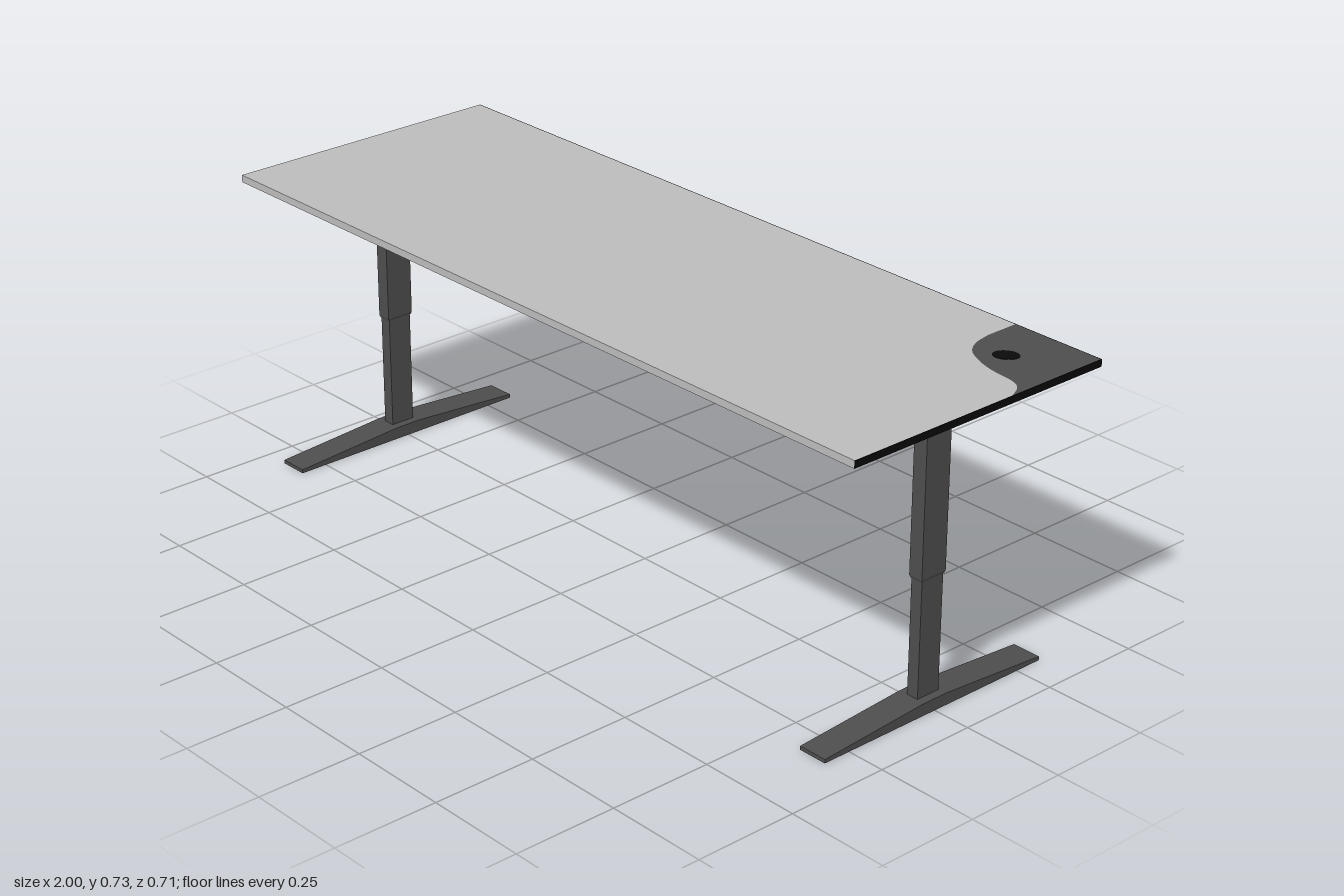
import * as THREE from 'three';

const TOP = 0.727, BOTTOM = 0.7095, HALF_Z = 0.353, EDGE = 0.002;

export function createModel() {
  const material = (name, color) => {
    const m = new THREE.MeshStandardMaterial({ color });
    m.name = name;
    return m;
  };
  const lightGrey = material('light grey', 0xbcbcbc);
  const darkGrey = material('dark grey', 0x4d4d4d);
  const black = material('black', 0x0a0a0a);

  const model = new THREE.Group();
  model.name = 'desk';

  const add = (parent, name, geometry, mat, x = 0, y = 0, z = 0) => {
    const mesh = new THREE.Mesh(geometry, mat);
    mesh.name = name;
    mesh.position.set(x, y, z);
    parent.add(mesh);
    return mesh;
  };

  // Tabletop: two slabs meeting along a curved seam in the back left corner
  const X = 1 - EDGE, Z = HALF_Z - EDGE;
  const seam = new THREE.SplineCurve([
    [0.763, -0.27], [0.772, -0.225], [0.795, -0.187], [0.835, -0.163],
    [0.885, -0.147], [0.95, -0.139], [0.98, -0.122], [X, -0.088],
  ].map(([x, z]) => new THREE.Vector2(x, z))).getPoints(28);
  const corner = (x, z) => new THREE.Vector2(x, z);
  const slab = (points) => new THREE.ExtrudeGeometry(new THREE.Shape(points), {
    depth: TOP - BOTTOM, bevelEnabled: false,
  }).rotateX(Math.PI / 2);

  const mainOutline = [
    corner(-1, -Z), corner(0.763, -Z), ...seam, corner(X, HALF_Z), corner(-1, HALF_Z),
  ];
  const patchOutline = [corner(0.763, -Z), corner(X, -Z), ...[...seam].reverse()];
  add(model, 'tabletop', slab(mainOutline), lightGrey, 0, TOP);
  add(model, 'cornerPanel', slab(patchOutline), darkGrey, 0, TOP);

  // Black edge bands along the back and the left side
  const bandH = TOP - BOTTOM - 0.001, bandY = TOP - bandH / 2;
  add(model, 'backEdge', new THREE.BoxGeometry(2, bandH, EDGE), black, 0, bandY, -HALF_Z + EDGE / 2);
  add(model, 'leftEdge', new THREE.BoxGeometry(EDGE, bandH, HALF_Z * 2 - EDGE), black, 1 - EDGE / 2, bandY, EDGE / 2);

  // Small oval spot on the corner panel
  const spot = add(model, 'cornerSpot', new THREE.CylinderGeometry(1, 1, 0.002, 24), black, 0.857, TOP, -0.222);
  spot.scale.set(0.029, 1, 0.022);
  spot.rotation.y = 0.6;

  // Foot profile: flat in the middle, sloping to thin ends
  const W = 0.072, REACH = 0.319;
  const beam = (height, tip) => new THREE.ExtrudeGeometry(new THREE.Shape([
    corner(-REACH, 0), corner(REACH, 0), corner(REACH, tip),
    corner(0.034, height), corner(-0.034, height), corner(-REACH, tip),
  ]), { depth: W, bevelEnabled: false }).translate(0, 0, -W / 2).rotateY(-Math.PI / 2);

  // Short tapered collar under the upper column
  const collarGeometry = () => {
    const geometry = new THREE.BoxGeometry(0.036, 0.006, 0.07);
    const p = geometry.attributes.position;
    for (let i = 0; i < p.count; i++) {
      if (p.getY(i) < 0) p.setXYZ(i, p.getX(i) * 0.88, p.getY(i), p.getZ(i) * 0.93);
    }
    geometry.computeVertexNormals();
    return geometry;
  };

  // Two telescopic legs
  for (const [name, x] of [['rightLeg', -0.9], ['leftLeg', 0.87]]) {
    const leg = new THREE.Group();
    leg.name = name;
    leg.position.x = x;
    add(leg, 'foot', beam(0.029, 0.009), darkGrey);
    add(leg, 'lowerColumn', new THREE.BoxGeometry(0.03, 0.29, 0.062), darkGrey, 0, 0.17);
    add(leg, 'collar', collarGeometry(), darkGrey, 0, 0.307);
    add(leg, 'upperColumn', new THREE.BoxGeometry(0.036, 0.378, 0.07), darkGrey, 0, 0.499);
    const bracket = add(leg, 'bracket', beam(0.0245, 0.0095), darkGrey, 0, BOTTOM);
    bracket.rotation.x = Math.PI;
    model.add(leg);
  }
  return model;
}
